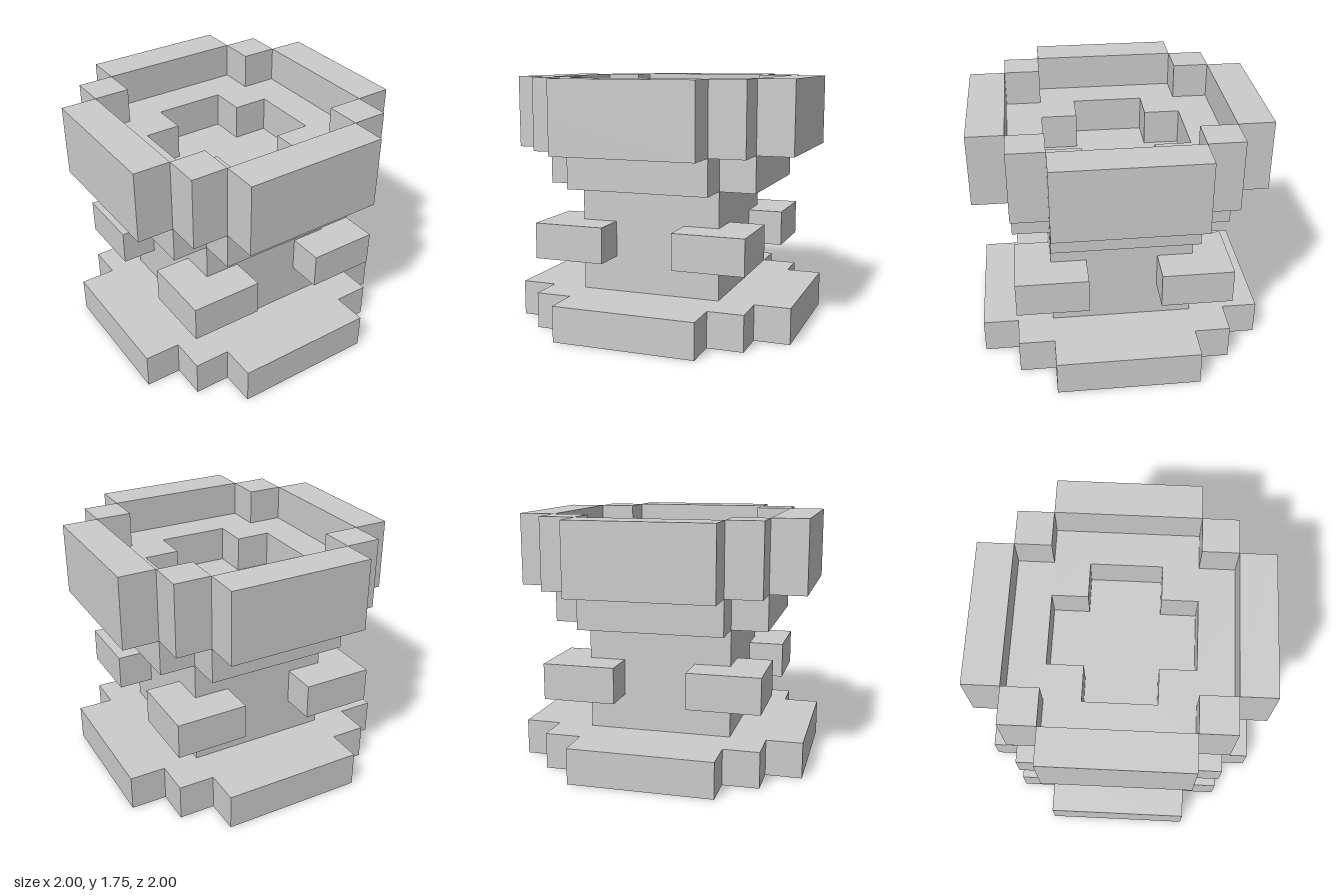
import * as THREE from 'three';

// One quadrant of each stepped outline, running from the +x side to the +y side
const WIDE = [[1, 0.5], [0.75, 0.5], [0.75, 0.75], [0.5, 0.75], [0.5, 1]];
const MEDIUM = [[0.75, 0.5], [0.5, 0.5], [0.5, 0.75]];
const SMALL = [[0.5, 0.25], [0.25, 0.25], [0.25, 0.5]];
const SQUARE = [[0.5, 0.5]];

// Turn a quadrant through four right angles to get the whole outline
function outline(quadrant) {
  const points = [];
  for (let i = 0; i < 4; i++) {
    for (const [x, y] of quadrant) {
      const turned = [[x, y], [-y, x], [-x, -y], [y, -x]][i];
      points.push(new THREE.Vector2(...turned));
    }
  }
  return points;
}

export function createModel() {
  const model = new THREE.Group();
  const material = new THREE.MeshStandardMaterial({ color: 0xcccccc, flatShading: true });

  // Upright slab between two heights, with an optional opening
  function slab(name, points, bottom, top, opening) {
    const shape = new THREE.Shape(points);
    if (opening) shape.holes.push(new THREE.Path(opening));
    const geometry = new THREE.ExtrudeGeometry(shape, { depth: top - bottom, bevelEnabled: false });
    geometry.rotateX(-Math.PI / 2);
    const mesh = new THREE.Mesh(geometry, material);
    mesh.name = name;
    mesh.position.y = bottom;
    model.add(mesh);
    return mesh;
  }

  // Foot and stem
  slab('base', outline(WIDE), 0, 0.25);
  slab('column', outline(SQUARE), 0.25, 1);

  // Blocks wrapped around the four corners of the column
  const corner = [[0.5, 0.25], [0.75, 0.25], [0.75, 0.75], [0.25, 0.75], [0.25, 0.5], [0.5, 0.5]]
    .map(([x, y]) => new THREE.Vector2(x, y));
  for (let i = 0; i < 4; i++) {
    slab('cornerBlock' + (i + 1), corner, 0.5, 0.75).rotation.y = i * Math.PI / 2;
  }

  // Bowl: solid underside, inner ledge, then the rim
  slab('bowlBottom', outline(MEDIUM), 1, 1.25);
  slab('bowlLedge', outline(WIDE), 1.25, 1.5, outline(SMALL));
  slab('bowlRim', outline(WIDE), 1.5, 1.75, outline(MEDIUM));

  return model;
}
